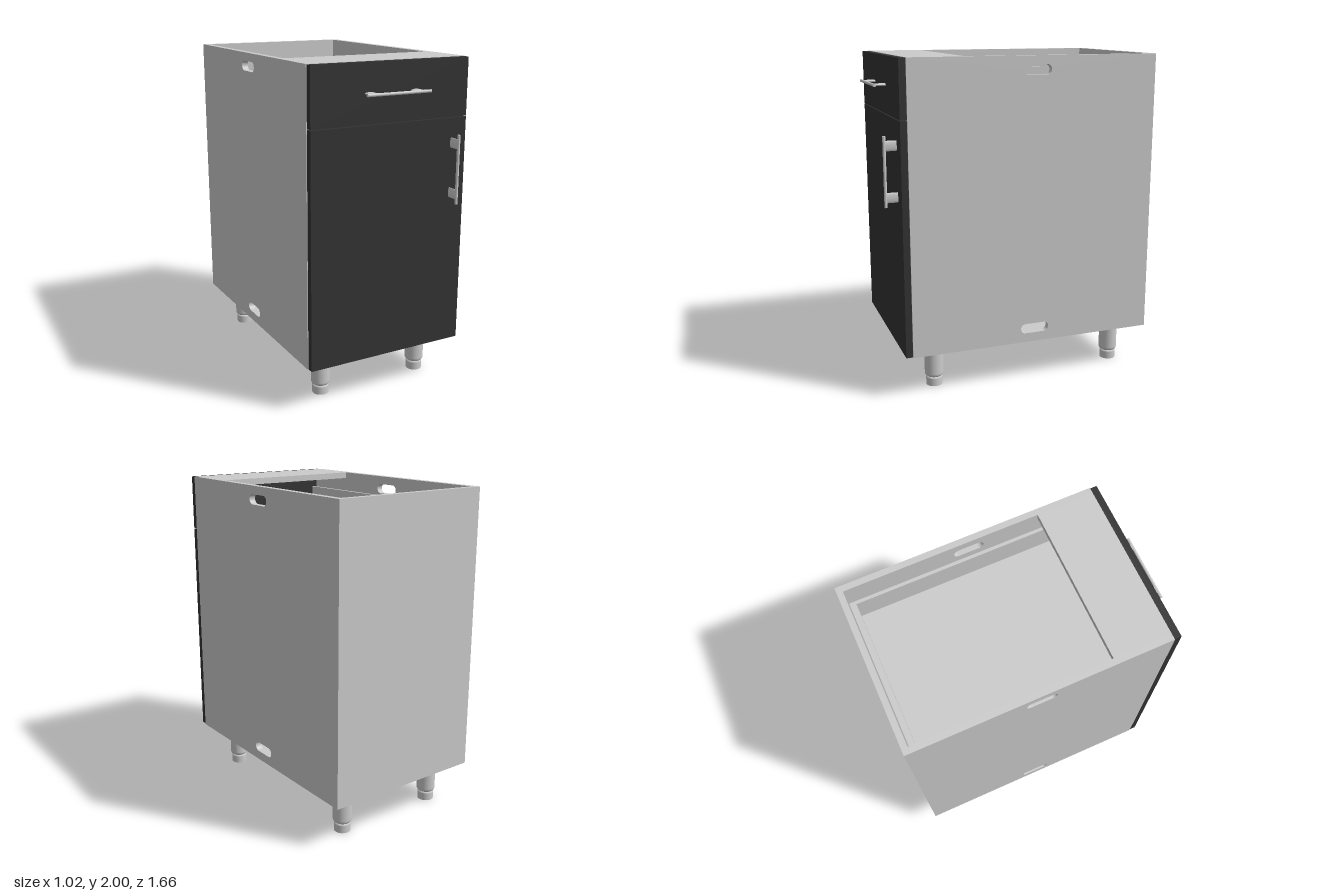
import * as THREE from 'three';

const grey = new THREE.MeshStandardMaterial({ color: 0xcccccc });
const dark = new THREE.MeshStandardMaterial({ color: 0x333333 });

// Box given by its min and max on each axis
function panel(name, [x0, x1], [y0, y1], [z0, z1], material = grey) {
  const mesh = new THREE.Mesh(new THREE.BoxGeometry(x1 - x0, y1 - y0, z1 - z0), material);
  mesh.position.set((x0 + x1) / 2, (y0 + y1) / 2, (z0 + z1) / 2);
  mesh.name = name;
  return mesh;
}

// Rounded slot centred on (u, v)
function slot(u, v, length, height) {
  const r = height / 2, h = length / 2 - r;
  const path = new THREE.Path();
  path.absarc(u + h, v, r, -Math.PI / 2, Math.PI / 2);
  path.absarc(u - h, v, r, Math.PI / 2, Math.PI * 1.5);
  path.closePath();
  return path;
}

// Side panel with two slots; the shape's horizontal axis is -z
function sideGeometry() {
  const shape = new THREE.Shape();
  shape.moveTo(-0.71, 0.26).lineTo(0.797, 0.26).lineTo(0.797, 2).lineTo(-0.71, 2).closePath();
  shape.holes.push(slot(0.06, 0.347, 0.18, 0.06), slot(0.06, 1.92, 0.18, 0.06));
  const geometry = new THREE.ExtrudeGeometry(shape, { depth: 0.038, bevelEnabled: false, curveSegments: 12 });
  return geometry.rotateY(Math.PI / 2);
}

// Bar handle along x on two flattened posts, standing out along +z
function createHandle(name) {
  const handle = new THREE.Group();
  handle.name = name;
  const bar = new THREE.Mesh(new THREE.CylinderGeometry(0.009, 0.009, 0.41, 16).rotateZ(Math.PI / 2), grey);
  bar.name = 'handleBar';
  bar.position.z = 0.071;
  handle.add(bar);
  for (const x of [-0.149, 0.149]) {
    const post = new THREE.Mesh(new THREE.CylinderGeometry(0.03, 0.03, 0.068, 24).rotateX(Math.PI / 2).scale(1, 0.25, 1), grey);
    post.name = 'handlePost';
    post.position.set(x, 0, 0.034);
    handle.add(post);
  }
  return handle;
}

// Leg: wide sleeve above a narrower adjustable foot
function createLeg(x, z) {
  const leg = new THREE.Group();
  leg.name = 'leg';
  const lathe = (name, points) => {
    const mesh = new THREE.Mesh(
      new THREE.LatheGeometry(points.map(([r, y]) => new THREE.Vector2(r, y)), 32), grey);
    mesh.name = name;
    leg.add(mesh);
  };
  lathe('legSleeve', [[0, 0.058], [0.047, 0.058], [0.053, 0.063], [0.057, 0.071], [0.058, 0.08], [0.058, 0.262]]);
  lathe('legFoot', [[0, 0], [0.05, 0], [0.05, 0], [0.05, 0.048], [0.05, 0.048], [0.045, 0.06], [0, 0.06]]);
  leg.position.set(x, 0, z);
  return leg;
}

export function createModel() {
  const cabinet = new THREE.Group();
  cabinet.name = 'baseCabinet';

  // Carcass
  const side = sideGeometry();
  for (const [name, x] of [['rightSide', -0.512], ['leftSide', 0.474]]) {
    const mesh = new THREE.Mesh(side, grey);
    mesh.name = name;
    mesh.position.x = x;
    cabinet.add(mesh);
  }
  cabinet.add(
    panel('backPanel', [-0.512, 0.512], [0.26, 2], [-0.832, -0.797]),
    panel('bottomPanel', [-0.474, 0.474], [0.26, 0.298], [-0.797, 0.71]),
    panel('topRail', [-0.474, 0.474], [1.962, 2], [0.365, 0.71]),
  );

  // Drawer box, closed in front by the drawer front
  const drawer = new THREE.Group();
  drawer.name = 'drawer';
  drawer.add(
    panel('drawerFloor', [-0.435, 0.435], [1.69, 1.72], [-0.757, 0.71]),
    panel('drawerBack', [-0.455, 0.455], [1.69, 1.88], [-0.792, -0.757]),
    panel('drawerRightSide', [-0.455, -0.435], [1.69, 1.88], [-0.757, 0.71]),
    panel('drawerLeftSide', [0.435, 0.455], [1.69, 1.88], [-0.757, 0.71]),
    panel('drawerFront', [-0.509, 0.509], [1.66, 1.998], [0.711, 0.751], dark),
  );
  const drawerHandle = createHandle('drawerHandle');
  drawerHandle.position.set(0, 1.83, 0.751);
  drawer.add(drawerHandle);
  cabinet.add(drawer);

  // Door
  const door = new THREE.Group();
  door.name = 'door';
  door.add(panel('doorFront', [-0.509, 0.509], [0.264, 1.655], [0.711, 0.751], dark));
  const doorHandle = createHandle('doorHandle');
  doorHandle.rotation.z = Math.PI / 2;
  doorHandle.position.set(0.41, 1.36, 0.751);
  door.add(doorHandle);
  cabinet.add(door);

  // Legs
  for (const x of [-0.342, 0.342]) for (const z of [0.54, -0.66]) cabinet.add(createLeg(x, z));

  return cabinet;
}
